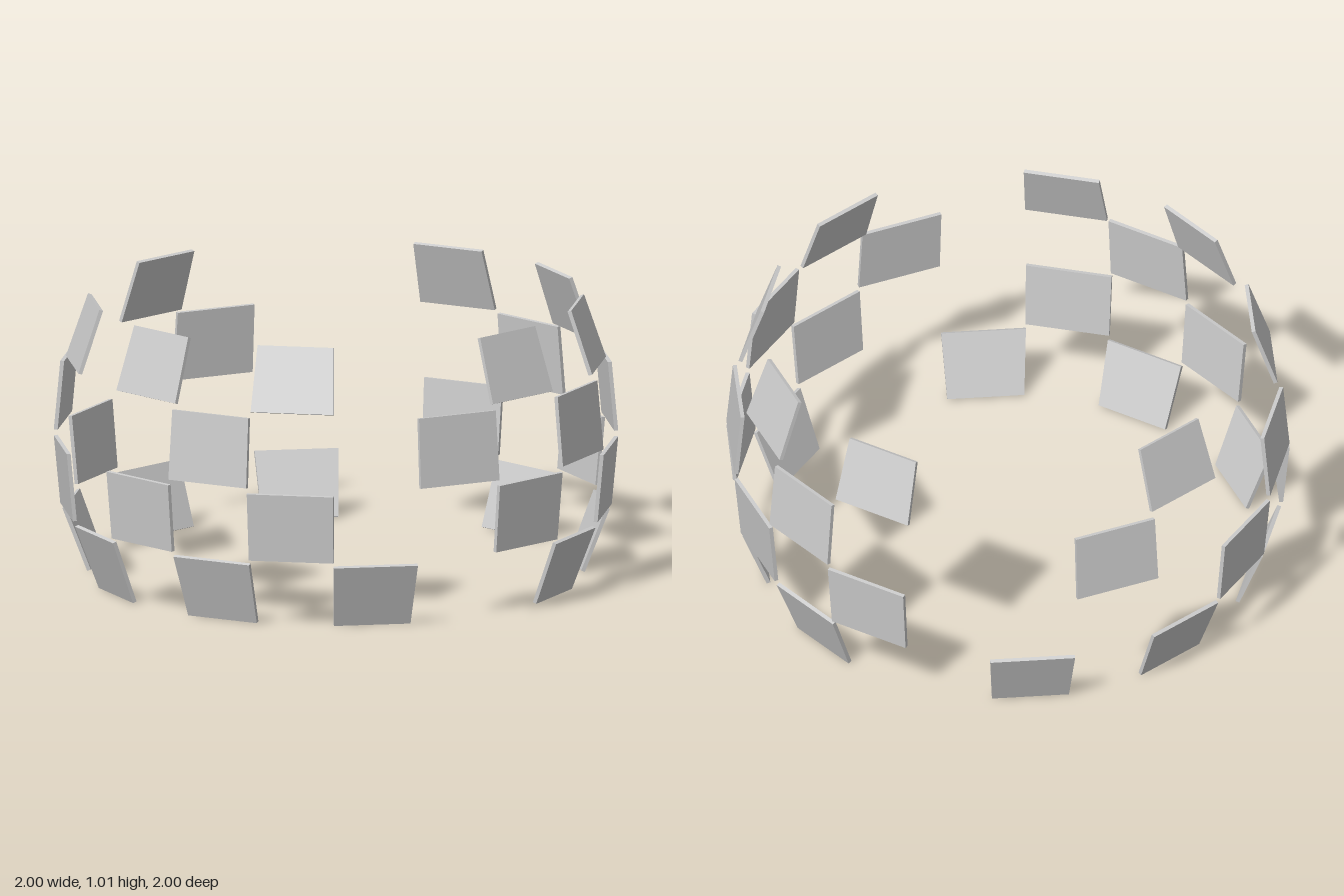
import * as THREE from 'three';

const STEP = Math.PI / 10; // 20 plates would fill one ring
const THICKNESS = 0.014;

// Each ring: height and radius at its lower and upper edge, and the occupied slots.
// Slot 0 starts at the front (+z) and slots count towards +x.
const RINGS = [
  { name: 'bottomRing', y: [0, 0.228], r: [0.88, 0.968], slots: [1, 3, 6, 8, 10, 13, 15, 17, 19] },
  { name: 'lowerRing', y: [0.247, 0.492], r: [0.975, 0.998], slots: [0, 2, 5, 7, 9, 11, 16, 18] },
  { name: 'upperRing', y: [0.513, 0.762], r: [0.998, 0.975], slots: [1, 4, 6, 8, 10, 14, 17] },
  { name: 'topRing', y: [0.781, 1.007], r: [0.955, 0.877], slots: [0, 2, 5, 7, 9, 11, 15, 18] },
];

// Flat trapezoid plate, tilted to follow the sphere
function plateGeometry({ y, r }) {
  const half = r.map((radius) => radius * Math.sin(STEP / 2) - 0.001);
  const depth = r.map((radius) => radius * Math.cos(STEP / 2));
  const rise = y[1] - y[0];
  const lean = depth[1] - depth[0];
  const length = Math.hypot(rise, lean);

  const shape = new THREE.Shape([
    new THREE.Vector2(-half[0], 0),
    new THREE.Vector2(half[0], 0),
    new THREE.Vector2(half[1], length),
    new THREE.Vector2(-half[1], length),
  ]);
  const geometry = new THREE.ExtrudeGeometry(shape, { depth: THICKNESS, bevelEnabled: false });
  geometry.translate(0, 0, -THICKNESS);
  geometry.rotateX(Math.atan2(lean, rise));
  geometry.translate(0, y[0], depth[0]);
  return geometry;
}

export function createModel() {
  const model = new THREE.Group();
  model.name = 'plateSphere';
  const material = new THREE.MeshStandardMaterial({ color: 0xcccccc });

  for (const ring of RINGS) {
    const group = new THREE.Group();
    group.name = ring.name;
    const geometry = plateGeometry(ring);
    for (const slot of ring.slots) {
      const plate = new THREE.Mesh(geometry, material);
      plate.name = 'plate';
      plate.rotation.y = (slot + 0.5) * STEP;
      group.add(plate);
    }
    model.add(group);
  }
  return model;
}
